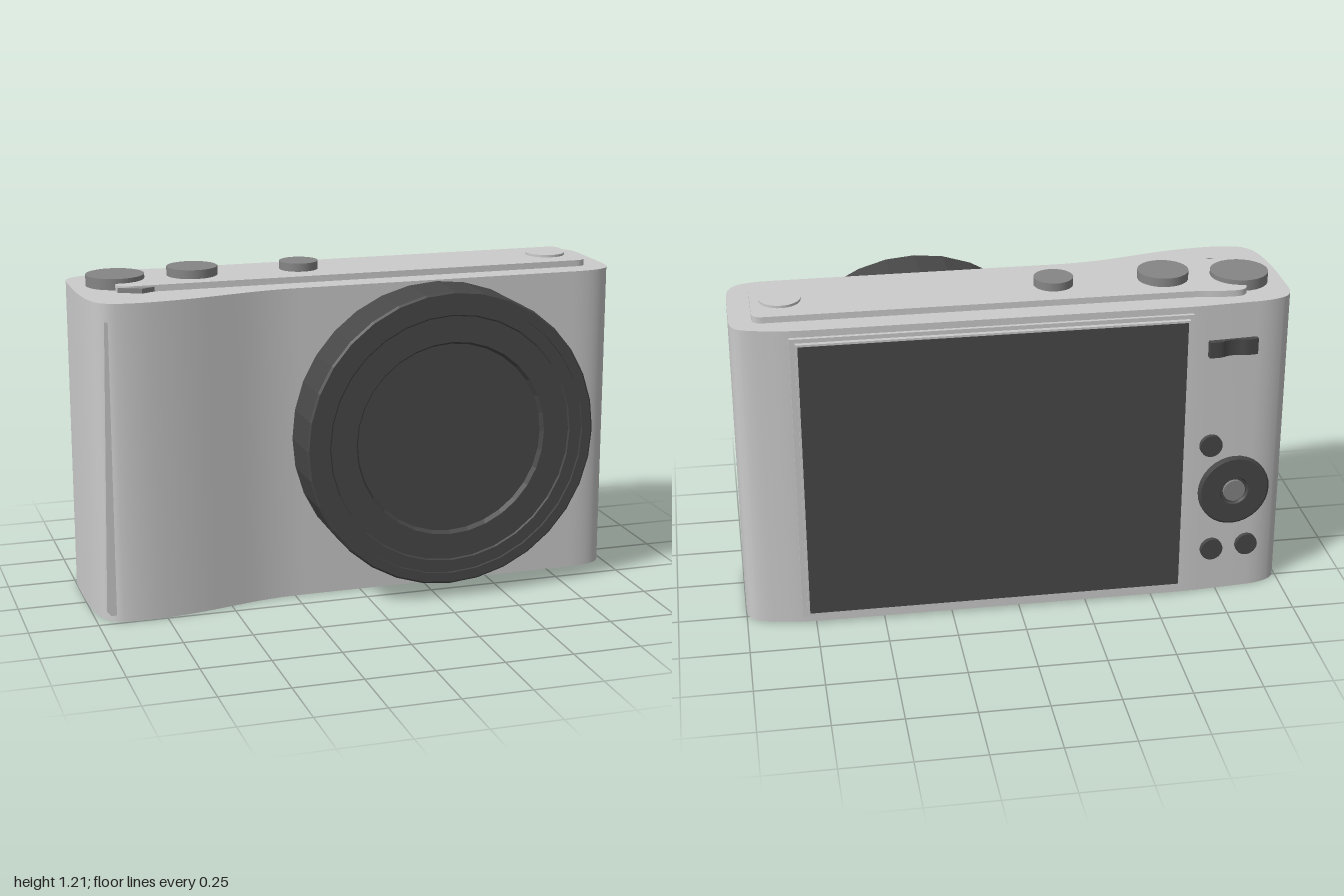
import * as THREE from 'three';
import { toCreasedNormals } from 'three/addons/utils/BufferGeometryUtils.js';

const mat = (color, flatShading = false) => new THREE.MeshStandardMaterial({ color, flatShading });
const grey = mat(0xcccccc), dark = mat(0x484848), darkFlat = mat(0x484848, true), mid = mat(0x868686);

// Closed shape with rounded corners; each point is [x, y, cornerRadius]
function roundedShape(points) {
  const shape = new THREE.Shape();
  const n = points.length;
  points.forEach(([x, y, r = 0], i) => {
    const p = new THREE.Vector2(x, y);
    const toward = ([qx, qy]) => {
      const d = new THREE.Vector2(qx, qy).sub(p);
      return p.clone().addScaledVector(d, Math.min(r / d.length(), 0.49));
    };
    const a = toward(points[(i + n - 1) % n]);
    const b = toward(points[(i + 1) % n]);
    if (i === 0) shape.moveTo(a.x, a.y);
    else shape.lineTo(a.x, a.y);
    if (r > 0) shape.quadraticCurveTo(x, y, b.x, b.y);
  });
  shape.closePath();
  return shape;
}

// Plan outline in [x, z, radius], raised from y0 to y1
function slab(plan, y0, y1) {
  const shape = roundedShape(plan.map(([x, z, r]) => [x, -z, r]));
  const g = new THREE.ExtrudeGeometry(shape, { depth: y1 - y0, bevelEnabled: false, curveSegments: 6 });
  g.rotateX(-Math.PI / 2).translate(0, y0, 0);
  return toCreasedNormals(g, 0.6);
}

export function createModel() {
  const model = new THREE.Group();
  model.name = 'compactCamera';
  const add = (name, geometry, material, x = 0, y = 0, z = 0, parent = model) => {
    const mesh = new THREE.Mesh(geometry, material);
    mesh.name = name;
    mesh.position.set(x, y, z);
    parent.add(mesh);
    return mesh;
  };

  // Body with the swelling hand grip
  add('body', slab([
    [-1, 0.06, 0.15], [-0.965, 0.225, 0.09], [-0.84, 0.25, 0.08], [-0.66, 0.235, 0.1],
    [-0.33, 0.157, 0.12], [0.93, 0.157, 0.1], [1, 0.1, 0.08], [1, -0.25, 0.06],
    [0.96, -0.29, 0.06], [0.8, -0.32, 0.06], [-0.64, -0.322, 0.05],
    [-0.92, -0.303, 0.06], [-1, -0.26, 0.07],
  ], 0, 1.155), grey);

  // Slim lip along the outer side of the grip
  const lip = new THREE.ExtrudeGeometry(roundedShape([
    [-0.943, 1.09], [-0.965, 0.04], [-0.95, 0.022], [-0.9, 0.022], [-0.9, 1.09],
  ]), { depth: 0.09, bevelEnabled: false });
  add('gripLip', lip, grey, 0, 0, 0.137);

  // Raised top plate and the small lever at its front corner
  add('topPlate', slab([
    [-0.87, 0.03, 0.03], [-0.83, 0.065, 0.02], [0.92, 0.065, 0.04], [0.92, -0.235, 0.04],
    [-0.66, -0.235, 0.05], [-0.73, -0.25, 0.05], [-0.84, -0.25, 0.05], [-0.84, -0.03, 0.04],
  ], 1.15, 1.178), grey);
  add('lever', slab([[-0.86, 0.05], [-0.78, 0.09], [-0.72, 0.06]], 1.15, 1.172), mid);

  // Dials and buttons on the top: x, z, radius, top height
  for (const [name, x, z, r, top, m] of [
    ['modeDial', -0.84, -0.1, 0.105, 1.195, mid],
    ['shutterButton', -0.56, -0.09, 0.092, 1.21, mid],
    ['powerButton', -0.16, -0.09, 0.071, 1.208, mid],
    ['flashButton', 0.815, -0.09, 0.073, 1.187, grey],
  ]) {
    const h = top - 1.15;
    add(name, new THREE.CylinderGeometry(r, r, h, 32), m, x, 1.15 + h / 2, z);
  }

  // Lens barrel with stepped front rings
  const lensProfile = [
    [0.547, 0.1], [0.547, 0.345], [0.54, 0.352], [0.505, 0.352], [0.505, 0.342],
    [0.46, 0.342], [0.455, 0.338], [0.36, 0.338], [0.35, 0.32], [0, 0.32],
  ].map(([r, h]) => new THREE.Vector2(r, h));
  const lens = new THREE.LatheGeometry(lensProfile, 32).rotateX(Math.PI / 2);
  add('lens', lens, darkFlat, 0.29, 0.603, 0);

  // Rear screen: frame, panel and dark glass
  add('screenFrame', new THREE.BoxGeometry(1.42, 1.1, 0.04), grey, 0.09, 0.58, -0.315);
  add('screenPanel', new THREE.BoxGeometry(1.385, 1.07, 0.04), grey, 0.088, 0.58, -0.332);
  add('screenGlass', new THREE.BoxGeometry(1.37, 1.055, 0.01), dark, 0.088, 0.58, -0.348);

  // Rear controls, tilted to follow the slope of the back
  const controls = new THREE.Group();
  controls.name = 'rearControls';
  controls.position.set(-0.8, 0, -0.312);
  controls.rotation.y = 0.075;
  model.add(controls);
  const disc = (r, h, sides = 32) => new THREE.CylinderGeometry(r, r, h, sides).rotateX(Math.PI / 2);
  const wheelProfile = [
    [0.135, -0.01], [0.135, 0.014], [0.128, 0.018], [0.055, 0.018], [0.05, 0.008], [0, 0.008],
  ].map(([r, h]) => new THREE.Vector2(r, h));
  add('controlWheel', new THREE.LatheGeometry(wheelProfile, 32).rotateX(-Math.PI / 2),
    darkFlat, 0, 0.415, 0, controls);
  add('centreButton', disc(0.042, 0.03, 16), mid, 0, 0.415, -0.003, controls);
  for (const [x, y] of [[0.095, 0.606], [0.075, 0.175], [-0.06, 0.18]]) {
    add('rearButton', disc(0.042, 0.03, 24), dark, x, y, 0, controls);
  }

  // Thumb dial with a dished middle
  add('thumbDial', slab([
    [-0.06, 0.01], [0.12, 0.01], [0.12, -0.02], [0.075, -0.022, 0.02], [0.05, -0.01, 0.02],
    [0.01, -0.01, 0.02], [-0.015, -0.022, 0.02], [-0.06, -0.02],
  ], 0.96, 1.02), dark, 0, 0, 0, controls);

  return model;
}
